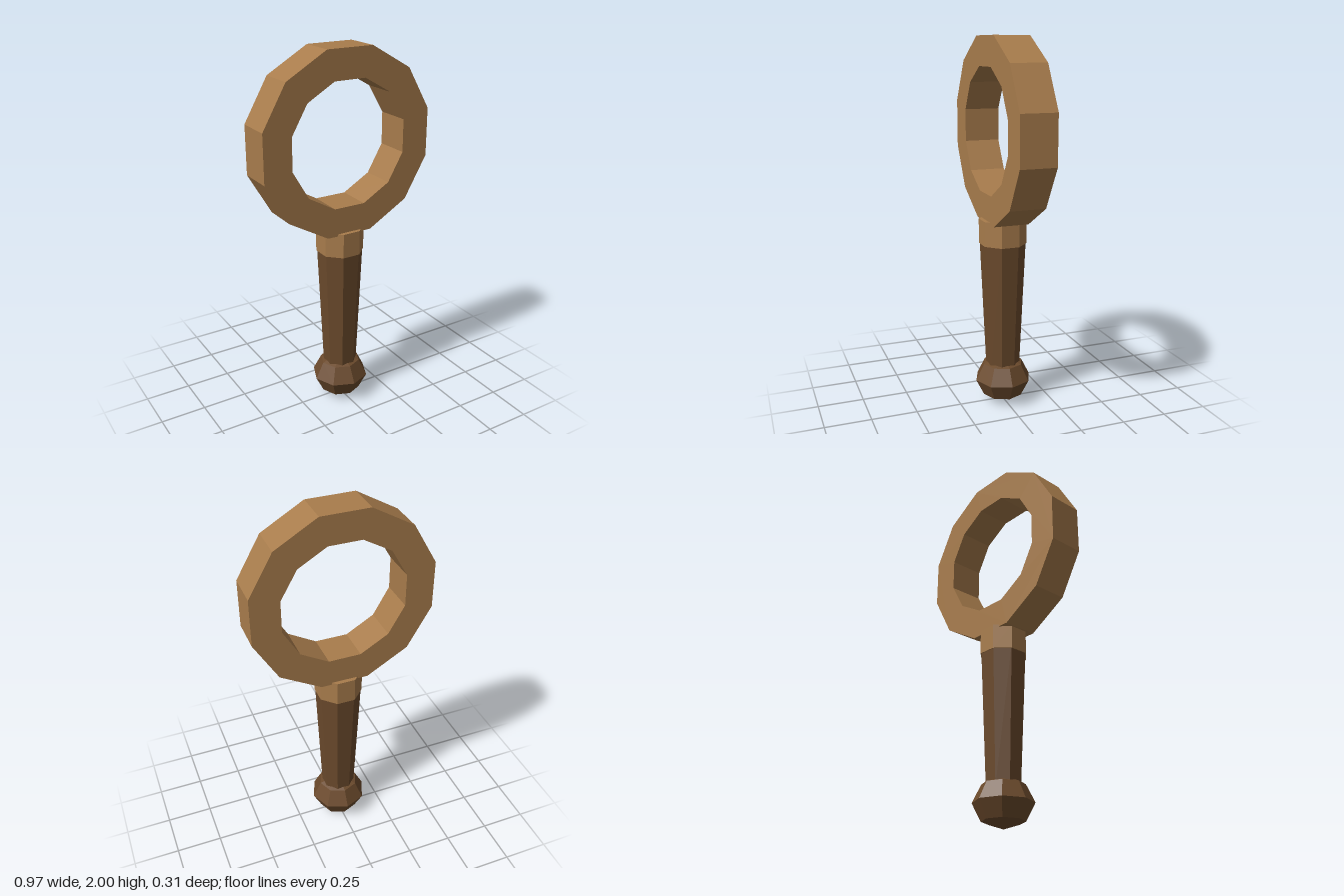
import * as THREE from 'three';

export function createModel() {
  const model = new THREE.Group();
  const lightWood = new THREE.MeshStandardMaterial({ color: 0xa87c4c });
  lightWood.name = 'light wood';
  const darkWood = new THREE.MeshStandardMaterial({ color: 0x6b4a2c });
  darkWood.name = 'dark wood';

  function add(name, geometry, material, y) {
    // Unshared vertices give every facet its own flat normal
    const flat = geometry.index ? geometry.toNonIndexed() : geometry;
    flat.computeVertexNormals();
    const mesh = new THREE.Mesh(flat, material);
    mesh.name = name;
    mesh.position.y = y;
    model.add(mesh);
    return mesh;
  }

  // Twelve-sided outline with flats at the top, bottom and sides
  const dodecagon = (radius) => Array.from({ length: 12 }, (_, i) => {
    const a = ((i + 0.5) * Math.PI) / 6;
    return new THREE.Vector2(radius * Math.cos(a), radius * Math.sin(a));
  });

  // Octagonal prism with a flat facing the front
  function octagon(topRadius, bottomRadius, height) {
    const g = new THREE.CylinderGeometry(topRadius, bottomRadius, height, 8);
    return g.rotateY(Math.PI / 8);
  }

  // Ring head
  const outline = new THREE.Shape(dodecagon(0.5));
  outline.holes.push(new THREE.Path(dodecagon(0.34)));
  const ring = new THREE.ExtrudeGeometry(outline, { depth: 0.194, bevelEnabled: false });
  ring.translate(0, 0, -0.097);
  add('ring', ring, lightWood, 1.517);

  // Collar between ring and grip
  add('collar', octagon(0.129, 0.129, 0.135), lightWood, 0.978);

  // Tapered grip, running down into the pommel
  add('grip', octagon(0.125, 0.092, 0.74), darkWood, 0.56);

  // Faceted, slightly flattened pommel
  const pommel = new THREE.SphereGeometry(0.157, 8, 4);
  pommel.scale(1, 0.82, 1);
  add('pommel', pommel, darkWood, 0.129);

  return model;
}
